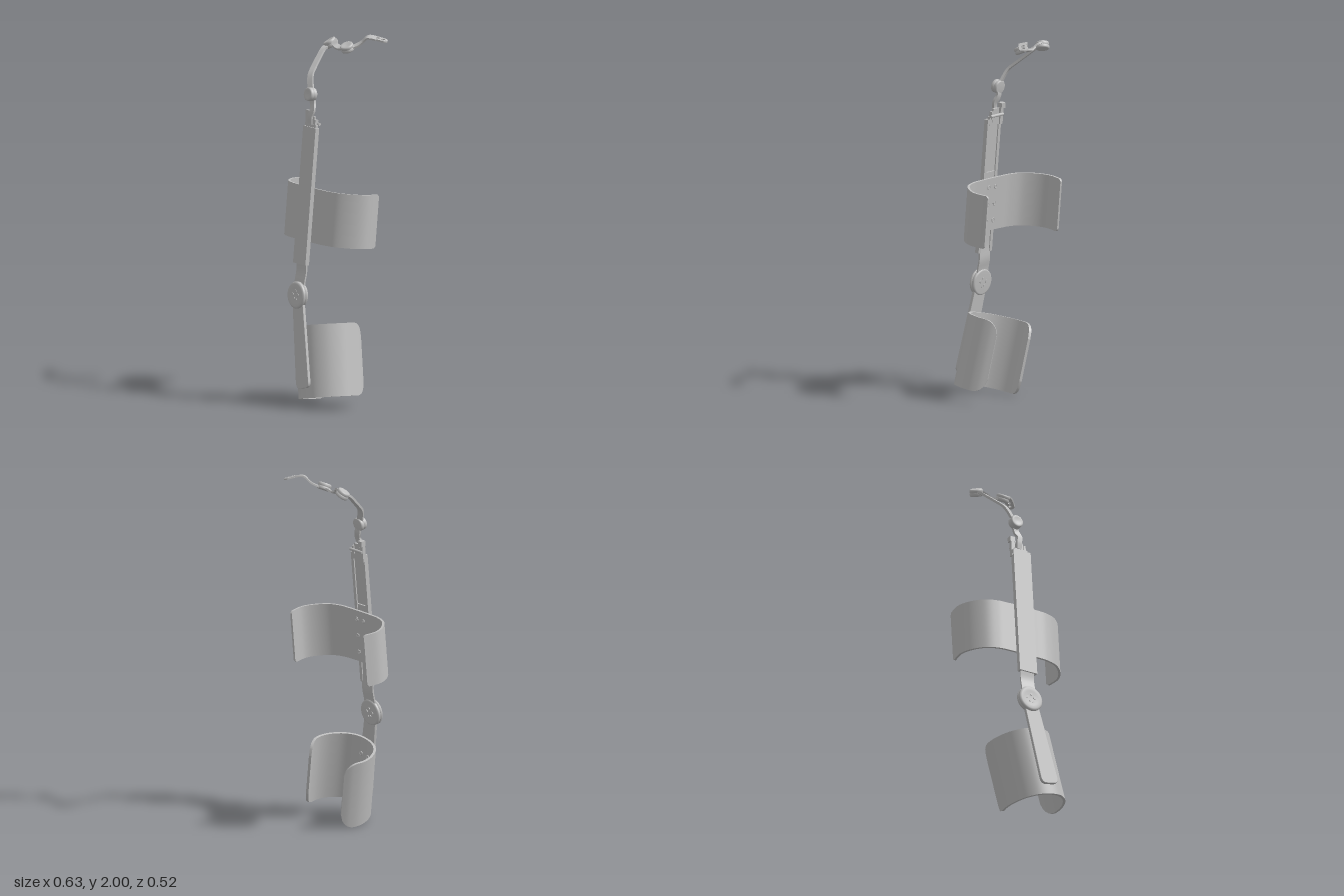
import * as THREE from 'three';

const V = (a) => new THREE.Vector3(...a);
const grey = new THREE.MeshStandardMaterial({ color: 0xbfbfbf });
grey.name = 'light grey';

function add(parent, name, geometry, pos = [0, 0, 0]) {
  const m = new THREE.Mesh(geometry, grey);
  m.name = name;
  m.position.set(...pos);
  parent.add(m);
  return m;
}

const box = (parent, name, size, pos) => add(parent, name, new THREE.BoxGeometry(...size), pos);

// Move every vertex of a geometry by a rule
function warp(geo, rule) {
  const p = geo.attributes.position;
  for (let i = 0; i < p.count; i++) p.setXYZ(i, ...rule(p.getX(i), p.getY(i), p.getZ(i)));
  geo.computeVertexNormals();
  return geo;
}

// Flat bar swept along a curve; hint is the rough direction of its broad face
function ribbon(parent, name, pts, w0, w1, thick, hint) {
  const curve = new THREE.CatmullRomCurve3(pts.map(V));
  return add(parent, name, warp(new THREE.BoxGeometry(1, 1, 1, 1, 32, 1), (x, y, z) => {
    const t = y + 0.5;
    const c = curve.getPointAt(t), tan = curve.getTangentAt(t);
    const n = V(hint).addScaledVector(tan, -V(hint).dot(tan)).normalize();
    const side = tan.clone().cross(n);
    c.addScaledVector(side, x * (w0 + (w1 - w0) * t)).addScaledVector(n, z * thick);
    return [c.x, c.y, c.z];
  }));
}

// Open curved shell; half is its (x, z) outline from the front centre to one end
function cuff(parent, name, half, yTop, yBottom, thick, corner) {
  const pts = [
    ...half.slice(1).reverse().map(([x, z]) => new THREE.Vector2(-x, z)),
    ...half.map(([x, z]) => new THREE.Vector2(x, z)),
  ];
  const curve = new THREE.SplineCurve(pts);
  const length = curve.getLength(), mid = (yTop + yBottom) / 2, h = yTop - yBottom;
  return add(parent, name, warp(new THREE.BoxGeometry(1, 1, 1, 90, 2, 1), (x, y, z) => {
    const s = (0.5 - Math.abs(x)) * length;
    const inset = s < corner ? corner - Math.sqrt(Math.max(0, corner ** 2 - (corner - s) ** 2)) : 0;
    const c = curve.getPointAt(x + 0.5), t = curve.getTangentAt(x + 0.5);
    const d = (z - 0.5) * thick;
    return [c.x - t.y * d, mid + y * (h - 2 * inset), c.y + t.x * d];
  }));
}

// Two columns of rivets through a cuff
function rivets(parent, ys, z) {
  for (const y of ys) for (const x of [-0.027, 0.027]) {
    add(parent, 'rivet', new THREE.CylinderGeometry(0.007, 0.007, 0.02, 16).rotateX(Math.PI / 2), [x, y, z + 0.008]);
    add(parent, 'rivetRing', new THREE.TorusGeometry(0.01, 0.003, 6, 18), [x, y, z]);
  }
}

// Round pivot made of two stacked caps with softened rims
function joint(parent, name, pos, normal, r, h) {
  const profile = [[0, -0.5], [0.86, -0.5], [0.97, -0.42], [1, -0.3], [1, -0.06], [0.92, -0.04], [0.92, 0.04],
    [1, 0.06], [1, 0.3], [0.95, 0.42], [0.84, 0.5], [0.6, 0.48], [0.3, 0.43], [0, 0.42]];
  const geo = new THREE.LatheGeometry(profile.map(([x, y]) => new THREE.Vector2(x * r, y * h)), 40);
  const m = add(parent, name, geo, pos);
  m.quaternion.setFromUnitVectors(new THREE.Vector3(0, 1, 0), V(normal).normalize());
  return m;
}

// Upper bar, its cuff and the clamp on top; local origin is the elbow pivot
function buildUpper(g) {
  const w = 0.055, left = [[-w, -0.01]];
  const right = [[w, -0.01], [w, 0.015], [w - 0.02, 0.015], [w - 0.02, 0.009], [w - 0.008, 0.009], [w - 0.008, -0.002]];
  const outline = [...left, ...right, ...right.slice(1).reverse().map(([x, y]) => [-x, y])];
  const channel = new THREE.Shape(outline.map(([x, y]) => new THREE.Vector2(x, y)));
  const geo = new THREE.ExtrudeGeometry(channel, { depth: 0.75, bevelEnabled: false });
  add(g, 'upperChannel', geo.rotateX(-Math.PI / 2), [0, 0.17, 0]);
  ribbon(g, 'slidingBar', [[0, 0, -0.005], [0, 0.07, -0.005], [0, 0.13, -0.012], [0, 0.2, -0.0055], [0, 0.4, -0.0055],
    [0, 0.62, -0.0055]], 0.085, 0.085, 0.009, [0, 0, 1]);

  cuff(g, 'upperArmCuff', [[0, -0.018], [0.09, -0.02], [0.155, -0.025], [0.225, -0.05], [0.285, -0.11],
    [0.314, -0.18], [0.303, -0.265]], 0.59, 0.295, 0.012, 0.012);
  rivets(g, [0.35, 0.445, 0.54], -0.032);

  // Clamp that carries the shoulder linkage
  box(g, 'clampBase', [0.085, 0.05, 0.016], [0, 0.91, -0.008]);
  box(g, 'clampPlate', [0.045, 0.075, 0.012], [-0.005, 0.94, -0.012]);
  box(g, 'clampPost', [0.022, 0.12, 0.02], [-0.046, 0.945, -0.014]);
  box(g, 'clampPostTip', [0.03, 0.03, 0.028], [-0.046, 0.99, -0.018]);
  box(g, 'clampTab', [0.014, 0.045, 0.02], [0.026, 0.94, -0.012]);
  add(g, 'clampPin', new THREE.CylinderGeometry(0.008, 0.008, 0.1, 16).rotateZ(Math.PI / 2), [-0.005, 0.94, -0.024]);
}

// Lower bar and its cuff; local origin is the elbow pivot
function buildLower(g) {
  const s = new THREE.Shape();
  s.moveTo(-0.04, 0.02);
  s.lineTo(-0.052, -0.47);
  s.quadraticCurveTo(-0.052, -0.502, -0.022, -0.502);
  s.lineTo(0.022, -0.502);
  s.quadraticCurveTo(0.052, -0.502, 0.052, -0.47);
  s.lineTo(0.04, 0.02);
  add(g, 'lowerBar', new THREE.ExtrudeGeometry(s, {
    depth: 0.012, bevelThickness: 0.003, bevelSize: 0.003, bevelSegments: 2, curveSegments: 10,
  }), [0, 0, -0.006]);

  cuff(g, 'forearmCuff', [[0, -0.008], [0.07, -0.022], [0.13, -0.068], [0.168, -0.135], [0.18, -0.2],
    [0.168, -0.26], [0.145, -0.3]], -0.165, -0.56, 0.014, 0.08);
  rivets(g, [-0.26, -0.35, -0.44], -0.028);
}

// Large elbow pivot with small raised studs on both faces
function buildElbow(g) {
  joint(g, 'elbowDisc', [0, 0, 0.004], [0, 0, 1], 0.073, 0.038);
  for (const [x, y, r] of [[0, 0.022, 0.008], [-0.024, 0.002, 0.009], [0.02, 0.004, 0.008], [-0.008, -0.018, 0.007], [0.01, -0.024, 0.006]]) {
    for (const z of [0.021, -0.016]) {
      add(g, 'elbowStud', new THREE.CylinderGeometry(r, r, 0.006, 14).rotateX(Math.PI / 2), [x, y, z]);
    }
  }
}

// Chain of three pivots and bent links ending in a drilled plate
function buildShoulder(g) {
  ribbon(g, 'stemLink', [[-0.02, 1.53, 0.1], [-0.018, 1.575, 0.1], [-0.01, 1.605, 0.092], [-0.022, 1.64, 0.078], [-0.03, 1.69, 0.078]],
    0.03, 0.036, 0.013, [0, 0, 1]);
  joint(g, 'lowerPivot', [-0.031, 1.69, 0.087], [-0.12, 0.15, 1], 0.037, 0.044);
  ribbon(g, 'longLink', [[-0.031, 1.69, 0.08], [-0.05, 1.735, 0.068], [-0.072, 1.785, 0.045], [-0.09, 1.825, 0],
    [-0.107, 1.87, -0.055], [-0.118, 1.905, -0.1], [-0.116, 1.92, -0.14]], 0.034, 0.028, 0.013, [0.1, 0.6, 0.8]);
  joint(g, 'cornerPivot', [-0.115, 1.928, -0.147], [-0.4, 0.85, 0.35], 0.037, 0.04);
  ribbon(g, 'shortLink', [[-0.11, 1.934, -0.152], [-0.082, 1.945, -0.145], [-0.06, 1.927, -0.13], [-0.03, 1.916, -0.13],
    [0.005, 1.921, -0.128], [0.04, 1.925, -0.12]], 0.034, 0.032, 0.011, [0, 0.9, 0.4]);
  joint(g, 'outerPivot', [0.045, 1.93, -0.117], [0, 0.88, 0.45], 0.037, 0.038);
  ribbon(g, 'bentLink', [[0.045, 1.925, -0.12], [0.075, 1.938, -0.15], [0.1, 1.958, -0.172], [0.127, 1.987, -0.188],
    [0.148, 1.988, -0.2], [0.17, 1.983, -0.215]], 0.042, 0.048, 0.009, [0, 1, 0.25]);

  // Rounded end plate with two screw holes
  const tan = V([0.04, -0.014, -0.034]).normalize();
  const n = V([0, 1, 0.2]);
  n.addScaledVector(tan, -n.dot(tan)).normalize();
  const s = new THREE.Shape();
  s.moveTo(0.024, -0.01);
  s.lineTo(0.024, 0.028);
  s.absarc(0, 0.028, 0.024, 0, Math.PI, false);
  s.lineTo(-0.024, -0.01);
  for (const y of [0.0, 0.028]) s.holes.push(new THREE.Path().absarc(0, y, 0.009, 0, Math.PI * 2, true));
  const plate = new THREE.Group();
  plate.name = 'endPlate';
  plate.quaternion.setFromRotationMatrix(new THREE.Matrix4().makeBasis(tan.clone().cross(n), tan, n));
  plate.position.set(0.177, 1.981, -0.222);
  add(plate, 'drilledPlate', new THREE.ExtrudeGeometry(s, { depth: 0.009, bevelEnabled: false, curveSegments: 18 }), [0, 0, -0.0045]);
  for (const y of [0.0, 0.028]) add(plate, 'holeRim', new THREE.TorusGeometry(0.0105, 0.0025, 6, 20), [0, y, 0.0045]);
  g.add(plate);
}

export function createModel() {
  const model = new THREE.Group();
  model.name = 'armBrace';
  const section = (name, build, pos, rot) => {
    const g = new THREE.Group();
    g.name = name;
    g.position.set(...pos);
    g.rotation.set(...rot);
    build(g);
    model.add(g);
  };
  const elbow = [-0.02, 0.6, 0.19];
  section('upperSection', buildUpper, elbow, [-0.093, -0.12, -0.012]);
  section('elbowJoint', buildElbow, elbow, [-0.09, -0.12, 0]);
  section('lowerSection', buildLower, elbow, [-0.09, -0.12, 0.196]);
  section('shoulderLinkage', buildShoulder, [0, 0, 0], [0, 0, 0]);
  return model;
}
